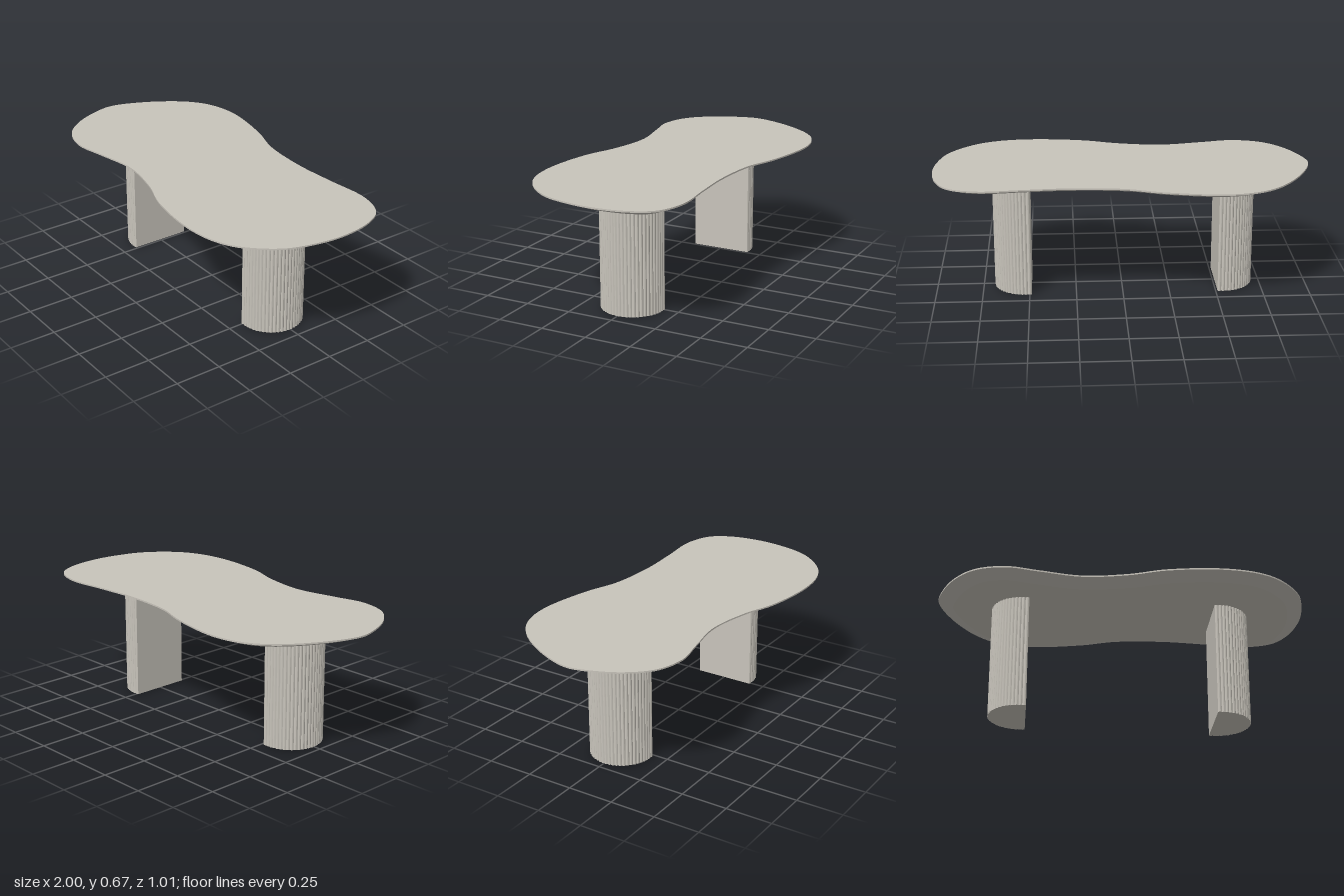
import * as THREE from 'three';
import { mergeGeometries } from 'three/addons/utils/BufferGeometryUtils.js';

const TOP = 0.667, LIP = 0.659, UNDER = 0.627, INSET = 0.08;

// Freeform tabletop outline as [x, z], running left, back, right, front
const OUTLINE = [
  [-1, 0], [-0.93, -0.2], [-0.8, -0.39], [-0.68, -0.476], [-0.505, -0.512], [-0.2, -0.465],
  [0, -0.4], [0.27, -0.377], [0.5, -0.389], [0.75, -0.405], [0.9, -0.35], [0.968, -0.24],
  [0.998, -0.06], [0.98, 0.11], [0.93, 0.26], [0.8, 0.41], [0.67, 0.477], [0.48, 0.502],
  [0.195, 0.467], [0, 0.4], [-0.24, 0.362], [-0.47, 0.4], [-0.64, 0.43], [-0.8, 0.385],
  [-0.91, 0.27], [-0.982, 0.11],
];

// Wall between two closed loops, upper first
function band(upper, yUpper, lower, yLower) {
  const n = upper.length, pos = [], index = [];
  upper.forEach((p) => pos.push(p.x, yUpper, p.y));
  lower.forEach((p) => pos.push(p.x, yLower, p.y));
  for (let i = 0; i < n; i++) {
    const j = (i + 1) % n;
    index.push(i, j, n + i, j, n + j, n + i);
  }
  const g = new THREE.BufferGeometry();
  g.setAttribute('position', new THREE.Float32BufferAttribute(pos, 3));
  g.setIndex(index);
  g.computeVertexNormals();
  return g;
}

// Flat face filling a loop, facing up (1) or down (-1)
function cap(loop, y, dir) {
  const pts = loop.map((p) => new THREE.Vector2(p.x, -dir * p.y));
  const g = new THREE.ShapeGeometry(new THREE.Shape(pts));
  g.rotateX(-dir * Math.PI / 2).translate(0, y, 0);
  g.deleteAttribute('uv');
  return g;
}

function tabletopGeometry() {
  const curve = new THREE.CatmullRomCurve3(OUTLINE.map(([x, z]) => new THREE.Vector3(x, 0, z)), true);
  const outer = [], inner = [], n = 200;
  for (let i = 0; i < n; i++) {
    const p = curve.getPointAt(i / n), t = curve.getTangentAt(i / n);
    outer.push(new THREE.Vector2(p.x, p.z));
    inner.push(new THREE.Vector2(p.x - t.z * INSET, p.z + t.x * INSET));
  }
  return mergeGeometries([
    cap(outer, TOP, 1),
    band(outer, TOP, outer, LIP),
    band(outer, LIP, inner, UNDER), // undercut bevel
    cap(inner, UNDER, -1),
  ]);
}

// D-shaped leg: flat inner face at x = 0, fluted round side towards +x
function legGeometry() {
  const r = 0.17, side = 0.03, arc = Math.PI * r, total = arc + 2 * side;
  const flutes = 30, steps = flutes * 6, depth = 0.005;
  const pts = [];
  for (let i = 0; i <= steps; i++) {
    const s = (i / steps) * total;
    const a = THREE.MathUtils.clamp((s - side) / r, 0, Math.PI) - Math.PI / 2;
    const straight = s < side ? s : s > side + arc ? total - s : side;
    const rr = r - depth * (1 - Math.abs(Math.sin((i / 6) * Math.PI)));
    pts.push(new THREE.Vector2(straight + Math.cos(a) * rr, Math.sin(a) * rr));
  }
  const g = new THREE.ExtrudeGeometry(new THREE.Shape(pts), { depth: UNDER, bevelEnabled: false });
  return g.rotateX(-Math.PI / 2);
}

export function createModel() {
  const group = new THREE.Group();
  group.name = 'table';
  const stone = new THREE.MeshStandardMaterial({ name: 'warm grey', color: 0xc8c4bb });

  const top = new THREE.Mesh(tabletopGeometry(), stone);
  top.name = 'tabletop';
  group.add(top);

  const legShape = legGeometry();
  const leftLeg = new THREE.Mesh(legShape, stone);
  leftLeg.name = 'leftLeg';
  leftLeg.position.x = 0.49;
  const rightLeg = new THREE.Mesh(legShape, stone);
  rightLeg.name = 'rightLeg';
  rightLeg.position.x = -0.51;
  rightLeg.rotation.y = Math.PI;
  group.add(leftLeg, rightLeg);
  return group;
}
